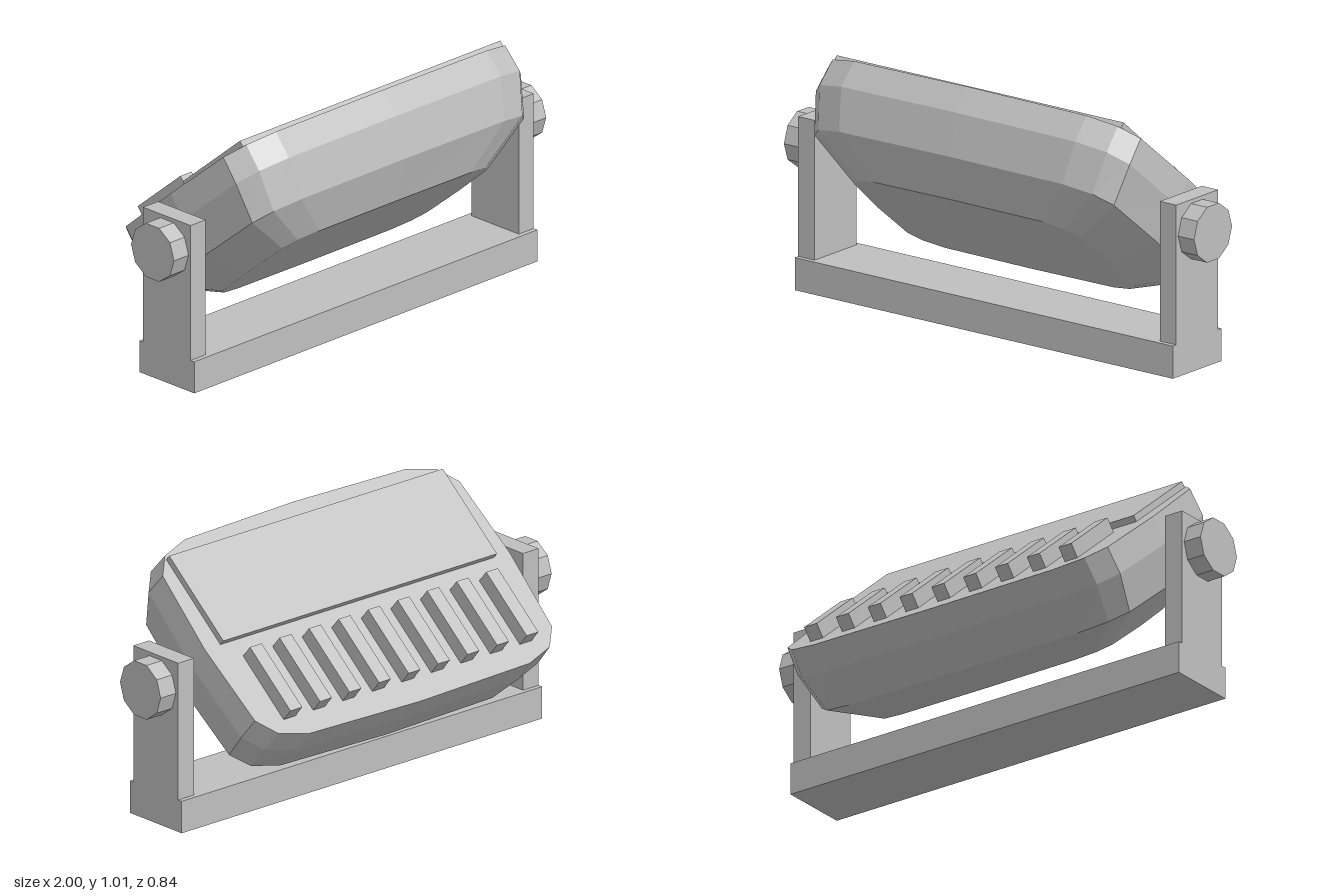
import * as THREE from 'three';

const SIDES = 16;

// Ring of a squarish superellipse at height y, centred on z = c
function ring({ y, c, a, b }) {
  const power = (v) => Math.sign(v) * Math.pow(Math.abs(v), 1 / 3);
  return Array.from({ length: SIDES }, (_, i) => {
    const t = (i / SIDES) * Math.PI * 2;
    const cos = i % 8 === 4 ? 0 : Math.cos(t);
    const sin = i % 8 === 0 ? 0 : Math.sin(t);
    return [a * power(cos), y, c + b * power(sin)];
  });
}

// Closed shell through rings listed from top to bottom
function shellGeometry(sections) {
  const rings = sections.map(ring);
  const first = sections[0];
  const last = sections[sections.length - 1];
  const pos = [];
  for (let j = 0; j < SIDES; j++) {
    const k = (j + 1) % SIDES;
    for (let r = 0; r < rings.length - 1; r++) {
      const [p, q] = [rings[r], rings[r + 1]];
      pos.push(...p[j], ...p[k], ...q[k], ...p[j], ...q[k], ...q[j]);
    }
    const end = rings[rings.length - 1];
    pos.push(0, first.y, first.c, ...rings[0][k], ...rings[0][j]);
    pos.push(0, last.y, last.c, ...end[j], ...end[k]);
  }
  const geometry = new THREE.BufferGeometry();
  geometry.setAttribute('position', new THREE.Float32BufferAttribute(pos, 3));
  geometry.computeVertexNormals();
  return geometry;
}

export function createModel() {
  const model = new THREE.Group();
  model.name = 'floodlight';
  const grey = new THREE.MeshStandardMaterial({ color: 0xbfbfbf, flatShading: true });
  grey.name = 'light grey';

  const add = (parent, name, geometry, x, y, z) => {
    const mesh = new THREE.Mesh(geometry, grey);
    mesh.name = name;
    mesh.position.set(x, y, z);
    parent.add(mesh);
    return mesh;
  };
  // Box given by its lower and upper corners
  const box = (parent, name, [x0, y0, z0], [x1, y1, z1]) =>
    add(parent, name, new THREE.BoxGeometry(x1 - x0, y1 - y0, z1 - z0),
      (x0 + x1) / 2, (y0 + y1) / 2, (z0 + z1) / 2);

  // U-shaped mounting bracket with a clamp knob on each side
  const bracket = new THREE.Group();
  bracket.name = 'bracket';
  model.add(bracket);
  box(bracket, 'base', [-0.922, 0, -0.083], [0.922, 0.13, 0.213]);
  for (const [side, s] of [['left', 1], ['right', -1]]) {
    const arm = new THREE.BoxGeometry(0.08, 0.557, 0.256);
    add(bracket, side + 'Arm', arm, s * 0.882, 0.4085, 0.065);
    const knob = new THREE.CylinderGeometry(0.116, 0.116, 0.08, 10);
    knob.rotateZ(Math.PI / 2);
    // Put a knob corner towards the front
    knob.rotateX(0);
    add(bracket, side + 'Knob', knob, s * 0.96, 0.561, 0.066);
  }

  // Tilted lamp head: local y points out of the rear face
  const head = new THREE.Group();
  head.name = 'head';
  head.rotation.x = THREE.MathUtils.degToRad(-40);
  model.add(head);
  add(head, 'housing', shellGeometry([
    { y: 0.576, c: 0.409, a: 0.78, b: 0.473 },
    { y: 0.463, c: 0.41, a: 0.786, b: 0.4745 },
    { y: 0.309, c: 0.386, a: 0.75, b: 0.425 },
    { y: 0.195, c: 0.363, a: 0.565, b: 0.292 },
  ]), 0, 0, 0);
  box(head, 'rearPanel', [-0.7, 0.57, 0.41], [0.7, 0.602, 0.813]);

  // Row of cooling fins below the panel
  for (let i = -4; i <= 4; i++) {
    const x = i * 0.151;
    box(head, 'coolingFin', [x - 0.03, 0.57, 0.035], [x + 0.03, 0.637, 0.337]);
  }
  return model;
}
